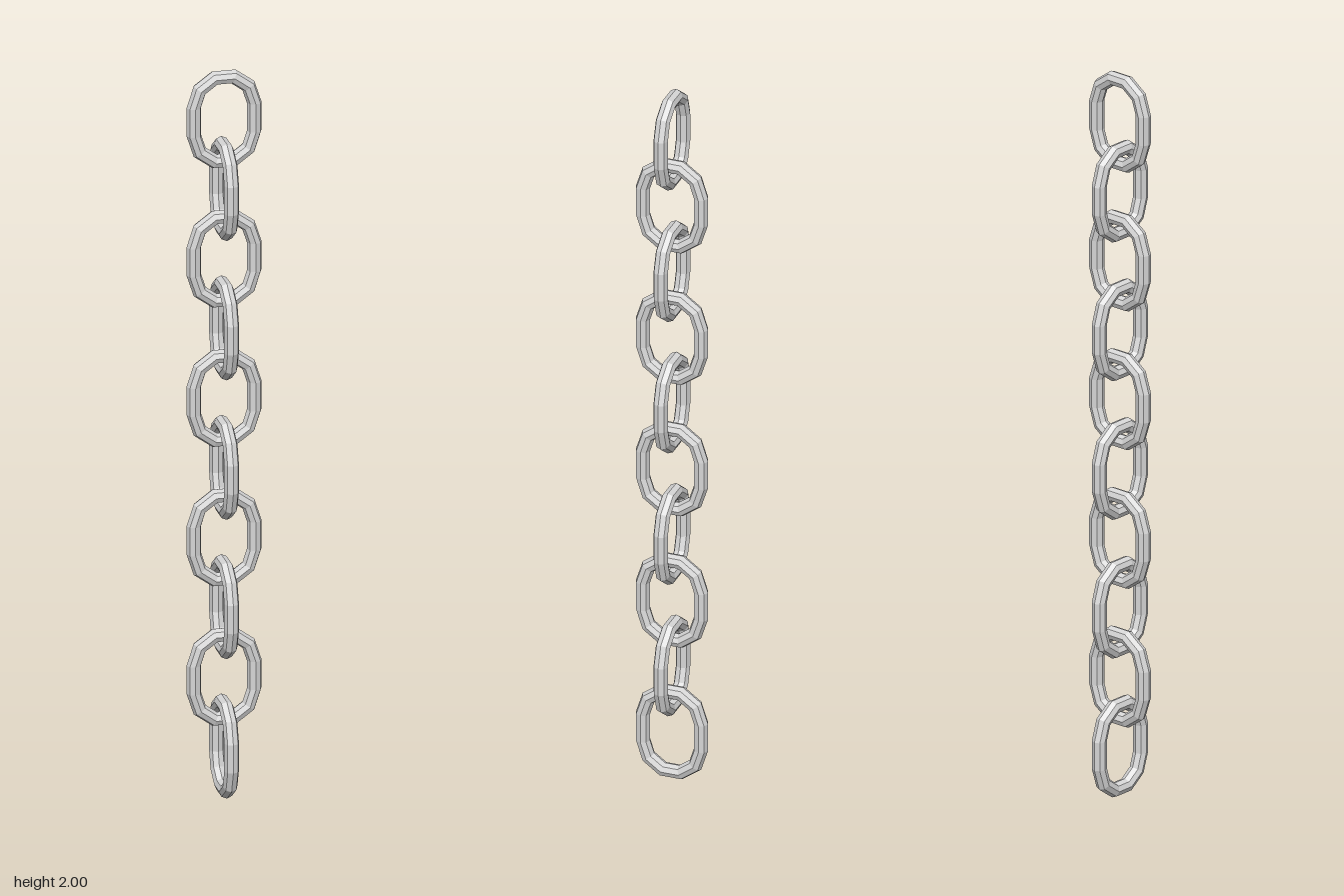
import * as THREE from 'three';

const LINKS = 10, HEIGHT = 2;
const RING = 0.08, WIRE = 0.0195;   // bend radius and wire radius
const LINK_HEIGHT = 0.267;
const SIDES = 8, BENDS = 5;         // wire facets, segments per half bend

// Oval link: a torus cut in two half bends, joined by straight sides
function linkGeometry() {
  const rings = 2 * BENDS + 2;
  const shift = LINK_HEIGHT / 2 - (RING + WIRE) * Math.sin((2 * Math.PI) / BENDS);
  const geo = new THREE.TorusGeometry(RING, WIRE, SIDES, rings);
  const pos = geo.attributes.position;
  for (let j = 0; j <= SIDES; j++) {
    const a = (j / SIDES) * Math.PI * 2;
    const r = RING + WIRE * Math.cos(a);
    for (let i = 0; i <= rings; i++) {
      const k = i % rings;
      const upper = k <= BENDS;
      const t = ((upper ? k : k - 1) / BENDS) * Math.PI;
      pos.setXYZ(
        j * (rings + 1) + i,
        r * Math.cos(t),
        r * Math.sin(t) + (upper ? shift : -shift),
        WIRE * Math.sin(a)
      );
    }
  }
  geo.computeVertexNormals();
  return geo;
}

export function createModel() {
  const chain = new THREE.Group();
  chain.name = 'chain';
  const steel = new THREE.MeshStandardMaterial({ color: 0xd6d6d6, flatShading: true });
  steel.name = 'light steel';

  // Links hang from the top, each turned a quarter from the last
  const geo = linkGeometry();
  const pitch = (HEIGHT - LINK_HEIGHT) / (LINKS - 1);
  for (let i = 0; i < LINKS; i++) {
    const link = new THREE.Mesh(geo, steel);
    link.name = `link${i + 1}`;
    link.position.y = HEIGHT - LINK_HEIGHT / 2 - i * pitch;
    link.rotation.y = i % 2 ? Math.PI / 2 : 0;
    chain.add(link);
  }
  return chain;
}
